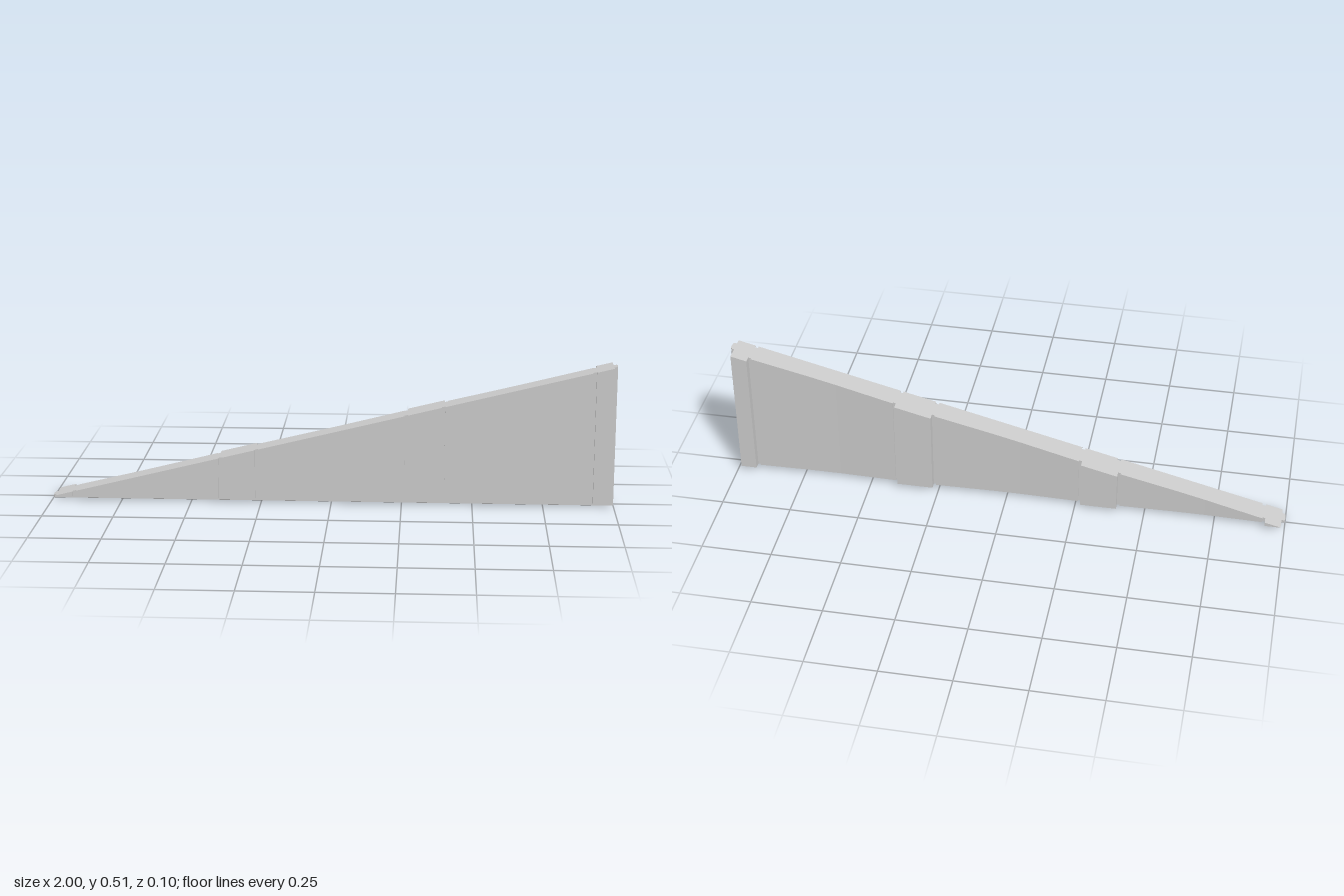
import * as THREE from 'three';

const topAt = (x) => 0.26 + 0.2475 * x; // height of the sloping top edge
const BASE = 0.015; // underside of the panel, above the bottom tongue

// Plan outline of the panel as [x, z], running along the back then the front
function panelPlan() {
  const pts = [];
  const notch = 0.01;
  const pilasters = [[-0.987, -0.93], [-0.4, -0.27], [0.27, 0.4], [0.93, 0.987]];
  pilasters.forEach(([a, b], i) => {
    if (i > 0) pts.push([a - notch, -0.034], [a - notch, -0.028], [a, -0.028]);
    pts.push([a, -0.053], [b, -0.053]);
    if (i < 3) {
      const mid = (b + pilasters[i + 1][0]) / 2;
      pts.push([b, -0.028], [b + notch, -0.028], [b + notch, -0.034]);
      pts.push([mid - 0.05, -0.03], [mid + 0.05, -0.03]); // shallow hollow
    }
  });
  // Front face with narrow vertical grooves
  pts.push([0.987, 0.05]);
  for (const x of [0.92, 0.395, 0.265, -0.265, -0.395, -0.92]) {
    const r = x + 0.006, l = x - 0.006;
    pts.push([r, 0.05], [r, 0.04], [l, 0.04], [l, 0.05]);
  }
  pts.push([-0.987, 0.05]);
  return pts;
}

// Extrude the plan upward, then cut it to the slope
function panelGeometry() {
  const shape = new THREE.Shape(panelPlan().map(([x, z]) => new THREE.Vector2(x, -z)));
  const geo = new THREE.ExtrudeGeometry(shape, { depth: 1, bevelEnabled: false });
  geo.rotateX(-Math.PI / 2);
  const p = geo.attributes.position;
  for (let i = 0; i < p.count; i++) {
    p.setY(i, p.getY(i) > 0.5 ? topAt(p.getX(i)) : BASE);
  }
  geo.computeVertexNormals();
  return geo;
}

// Loft through wedge-shaped sections from back to front: [z, half length, bottom]
function tongueGeometry() {
  const sections = [[-0.008, 0.996, 0.003], [0, 1, 0], [0.022, 1, 0], [0.03, 0.996, 0.003]];
  const pos = [];
  for (const [z, e, y] of sections) {
    pos.push(-e, y, z, e, y, z, e, topAt(e) - 0.0005, z, -e, topAt(-e) - 0.0005, z);
  }
  const idx = [0, 2, 1, 0, 3, 2, 12, 13, 14, 12, 14, 15];
  for (let s = 0; s < 3; s++) {
    for (let k = 0; k < 4; k++) {
      const a = s * 4 + k, b = s * 4 + (k + 1) % 4;
      idx.push(a, b, b + 4, a, b + 4, a + 4);
    }
  }
  const indexed = new THREE.BufferGeometry();
  indexed.setAttribute('position', new THREE.Float32BufferAttribute(pos, 3));
  indexed.setIndex(idx);
  const geo = indexed.toNonIndexed();
  geo.computeVertexNormals();
  return geo;
}

export function createModel() {
  const group = new THREE.Group();
  group.name = 'slopedWallPanel';
  const material = new THREE.MeshStandardMaterial({ color: 0xcccccc, flatShading: true });
  const add = (name, geo) => {
    const mesh = new THREE.Mesh(geo, material);
    mesh.name = name;
    group.add(mesh);
  };
  add('panel', panelGeometry());
  add('edgeTongue', tongueGeometry()); // chamfered tongue along the ends and bottom
  return group;
}
